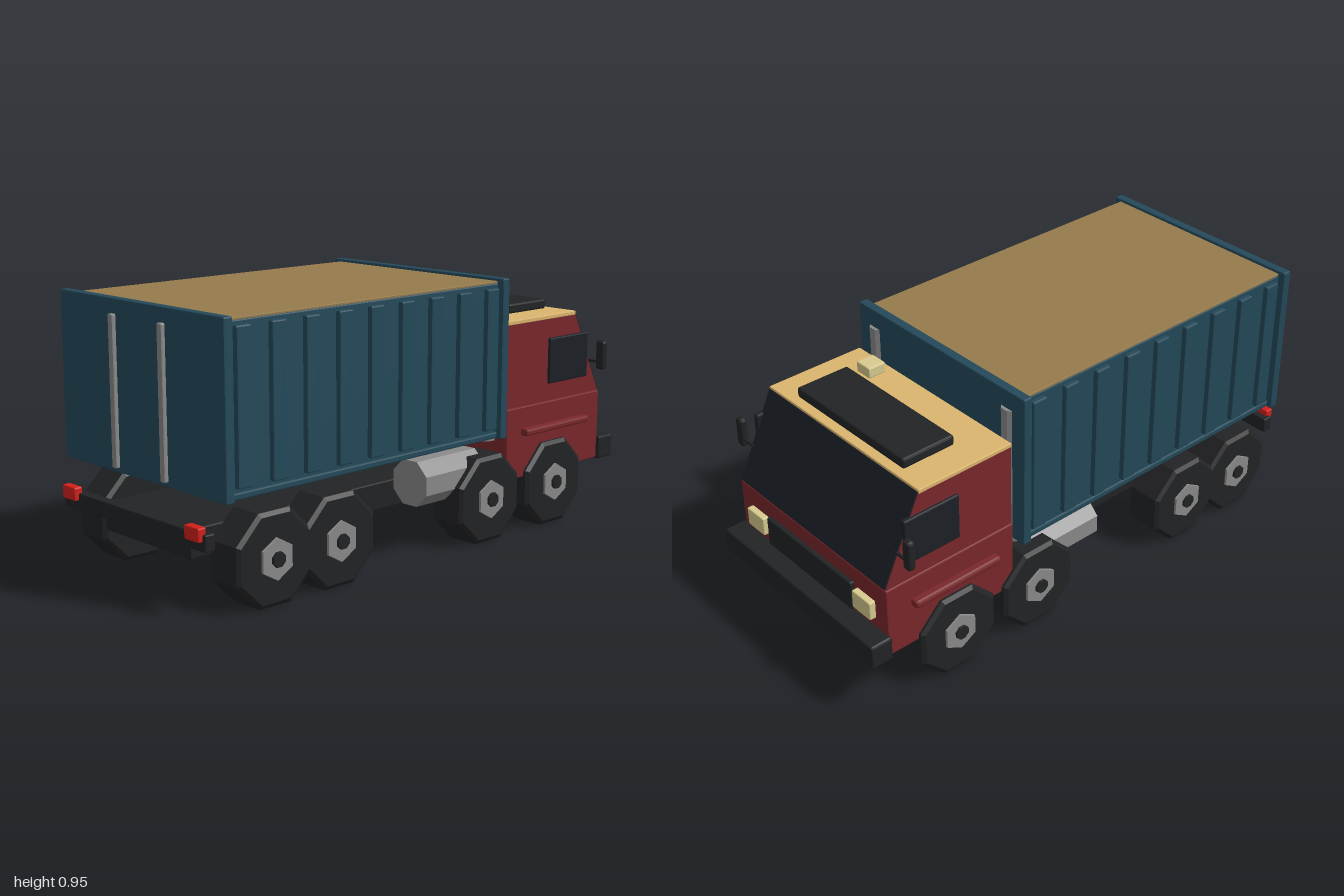
import * as THREE from 'three';
import { RoundedBoxGeometry } from 'three/addons/geometries/RoundedBoxGeometry.js';

const paint = (color) => new THREE.MeshStandardMaterial({ color, flatShading: true });

export function createModel() {
  const truck = new THREE.Group();
  truck.name = 'truck';
  const teal = paint(0x24495a), red = paint(0x7a272c), tan = paint(0xdcb56e), sand = paint(0x957b4c);
  const dark = paint(0x222325), glass = paint(0x1c2127), grey = paint(0x8a8a8a);
  const tail = paint(0xd3201b), cream = paint(0xd8cc90);

  const add = (name, geometry, material, parent = truck) => {
    const mesh = new THREE.Mesh(geometry, material);
    mesh.name = name;
    parent.add(mesh);
    return mesh;
  };
  // Softly bevelled box given by its limits on each axis
  const box = (name, mat, x0, x1, y0, y1, z0, z1, bevel = 0.005) => {
    const w = x1 - x0, h = y1 - y0, d = z1 - z0;
    const g = new RoundedBoxGeometry(w, h, d, 1, Math.min(bevel, w / 3, h / 3, d / 3));
    g.translate((x0 + x1) / 2, (y0 + y1) / 2, (z0 + z1) / 2);
    return add(name, g, mat);
  };
  // The same box on both sides
  const pair = (name, mat, x0, x1, ...rest) => {
    box(name + 'Left', mat, x0, x1, ...rest);
    box(name + 'Right', mat, -x1, -x0, ...rest);
  };
  // Side profile of [z, y] points, extruded across the width
  const profile = (name, mat, points, halfWidth) => {
    const shape = new THREE.Shape(points.map(([z, y]) => new THREE.Vector2(z, y)));
    const g = new THREE.ExtrudeGeometry(shape, { depth: halfWidth * 2, bevelEnabled: false });
    g.translate(0, 0, -halfWidth);
    g.rotateY(-Math.PI / 2);
    return add(name, g, mat);
  };

  // Chassis, rear bumper and tail lights
  box('chassis', dark, -0.23, 0.23, 0.15, 0.25, -0.87, 0.92);
  box('rearBumper', dark, -0.38, 0.38, 0.217, 0.275, 0.94, 0.98);
  pair('tailLight', tail, 0.295, 0.367, 0.25, 0.297, 0.965, 0.997);

  // Cargo container with end frames and ribbed sides
  box('containerBody', teal, -0.405, 0.405, 0.372, 0.93, -0.34, 0.91);
  box('cargoLoad', sand, -0.402, 0.402, 0.9, 0.937, -0.335, 0.905, 0.002);
  box('rearFrame', teal, -0.43, 0.43, 0.37, 0.947, 0.9, 0.935);
  box('frontFrame', teal, -0.43, 0.43, 0.37, 0.947, -0.36, -0.325);
  pair('bottomRail', teal, 0.39, 0.412, 0.372, 0.395, -0.34, 0.91);
  for (let i = 0; i < 9; i++) {
    const z = 0.85 - i * 0.1416;
    pair('sideRib', teal, 0.39, 0.424, 0.408, 0.915, z - 0.03, z + 0.03);
  }
  pair('doorBar', grey, 0.117, 0.142, 0.387, 0.897, 0.92, 0.95);

  // Exhaust stacks behind the cab and fuel tanks under the container
  for (const s of [1, -1]) {
    const stack = new THREE.CylinderGeometry(0.038, 0.038, 0.525, 8, 1, false, Math.PI / 8);
    add('exhaustStack', stack, grey).position.set(s * 0.345, 0.618, -0.337);
    const tank = new THREE.CylinderGeometry(0.087, 0.087, 0.3, 8, 1, false, Math.PI / 8);
    tank.rotateX(Math.PI / 2);
    add('fuelTank', tank, grey).position.set(s * 0.315, 0.252, -0.13);
  }

  // Cab shell, roof and windscreen
  profile('cab', red, [[-0.39, 0.2], [-0.39, 0.778], [-0.77, 0.778], [-0.917, 0.468], [-0.917, 0.2]], 0.4);
  box('lowerCab', red, -0.406, 0.406, 0.2, 0.465, -0.921, -0.388);
  box('roof', tan, -0.402, 0.402, 0.77, 0.786, -0.772, -0.389, 0.003);
  profile('windscreen', glass, [[-0.765, 0.774], [-0.775, 0.779], [-0.922, 0.47], [-0.91, 0.47]], 0.398);
  pair('sideWindow', glass, 0.39, 0.411, 0.53, 0.7, -0.84, -0.618);
  pair('sideTrim', red, 0.4, 0.438, 0.358, 0.386, -0.825, -0.465, 0.009);

  // Front bumper, grille and headlights
  box('frontBumper', dark, -0.42, 0.42, 0.195, 0.285, -1, -0.915, 0.008);
  box('grille', dark, -0.235, 0.235, 0.295, 0.405, -0.938, -0.91);
  pair('headlight', cream, 0.25, 0.345, 0.322, 0.392, -0.945, -0.91);

  // Roof hatch, beacon and mirrors
  box('roofHatch', dark, -0.285, 0.285, 0.784, 0.822, -0.738, -0.53, 0.008);
  box('beacon', cream, 0.165, 0.235, 0.82, 0.86, -0.525, -0.455);
  pair('mirrorArm', dark, 0.39, 0.45, 0.582, 0.592, -0.868, -0.858, 0.002);
  pair('mirror', dark, 0.44, 0.476, 0.56, 0.67, -0.877, -0.848, 0.01);

  // Octagonal tyre, hexagonal hub and axle cap, pointing outward along +x
  const tyreProfile = [[0, -0.07], [0.155, -0.07], [0.17, -0.06], [0.17, 0.06], [0.155, 0.07], [0, 0.07]]
    .map(([r, y]) => new THREE.Vector2(r, y));
  const tyre = new THREE.LatheGeometry(tyreProfile, 8, Math.PI / 8).rotateZ(-Math.PI / 2);
  const hub = new THREE.CylinderGeometry(0.07, 0.075, 0.03, 6, 1, false, Math.PI / 6).rotateZ(-Math.PI / 2);
  const cap = new THREE.CylinderGeometry(0.026, 0.03, 0.03, 8, 1, false, Math.PI / 8).rotateZ(-Math.PI / 2);
  for (const z of [0.733, 0.455, -0.283, -0.642]) {
    for (const s of [1, -1]) {
      const wheel = new THREE.Group();
      wheel.name = 'wheel';
      add('tyre', tyre, dark, wheel);
      add('hub', hub, grey, wheel).position.x = 0.063;
      add('axleCap', cap, dark, wheel).position.x = 0.072;
      wheel.position.set(s * 0.355, 0.158, z);
      if (s < 0) wheel.rotation.y = Math.PI;
      truck.add(wheel);
    }
  }
  return truck;
}
